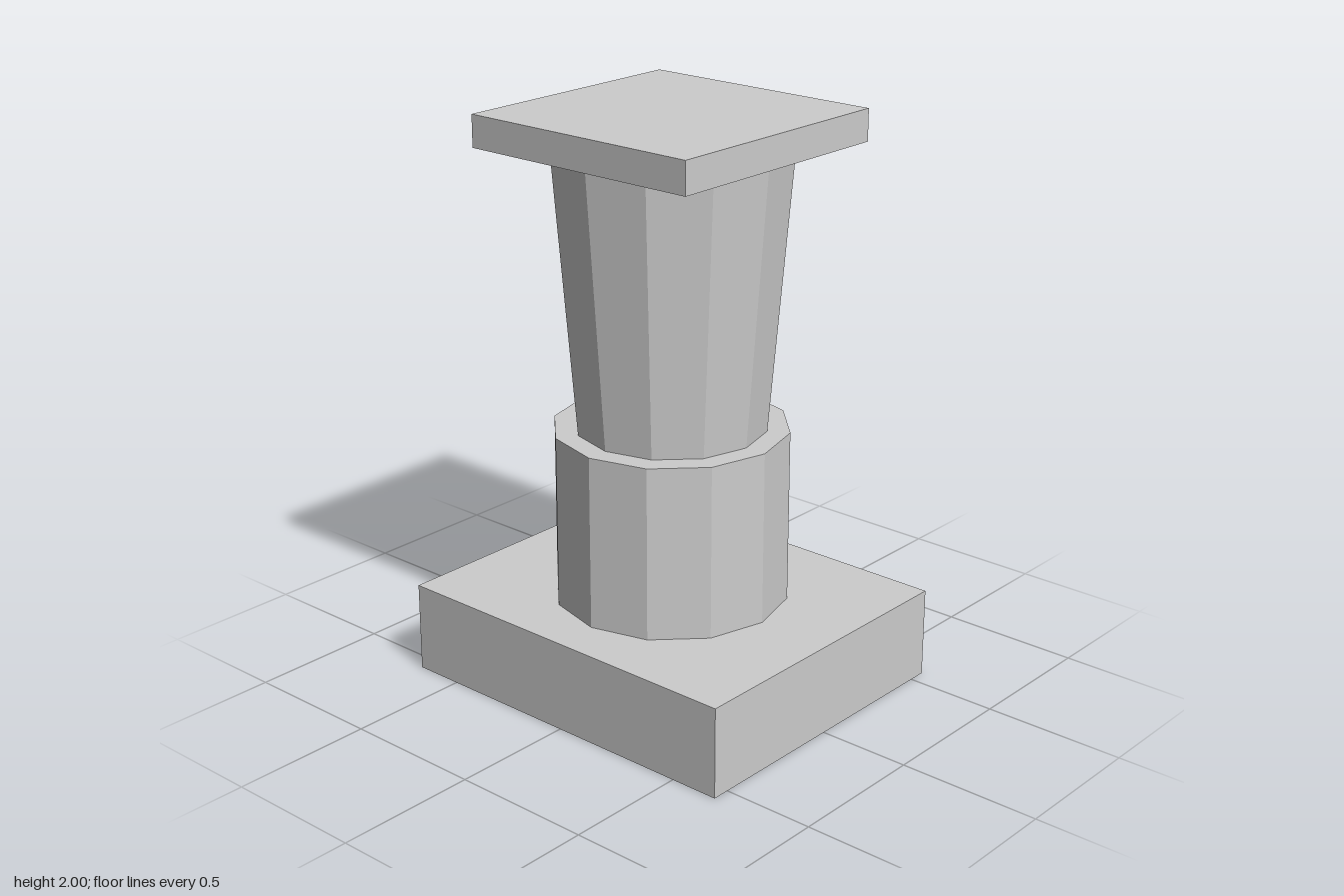
import * as THREE from 'three';

export function createModel() {
  const group = new THREE.Group();
  const stone = new THREE.MeshStandardMaterial({ color: 0xcccccc, flatShading: true });
  stone.name = 'paleGrey';

  // Adds a part standing on height y0
  const add = (name, geometry, y0, height) => {
    const mesh = new THREE.Mesh(geometry, stone);
    mesh.name = name;
    mesh.position.y = y0 + height / 2;
    group.add(mesh);
  };
  const slab = (name, w, d, y0, y1) =>
    add(name, new THREE.BoxGeometry(w, y1 - y0, d), y0, y1 - y0);
  const drum = (name, rTop, rBottom, y0, y1) =>
    add(name, new THREE.CylinderGeometry(rTop, rBottom, y1 - y0, 12), y0, y1 - y0);

  slab('basePlinth', 1.35, 1.125, 0, 0.318); // wider than it is deep
  drum('lowerDrum', 0.405, 0.405, 0.318, 0.927);
  drum('flaredShaft', 0.405, 0.327, 0.927, 1.89); // widens upward
  slab('topSlab', 0.9, 0.9, 1.89, 2);

  return group;
}
